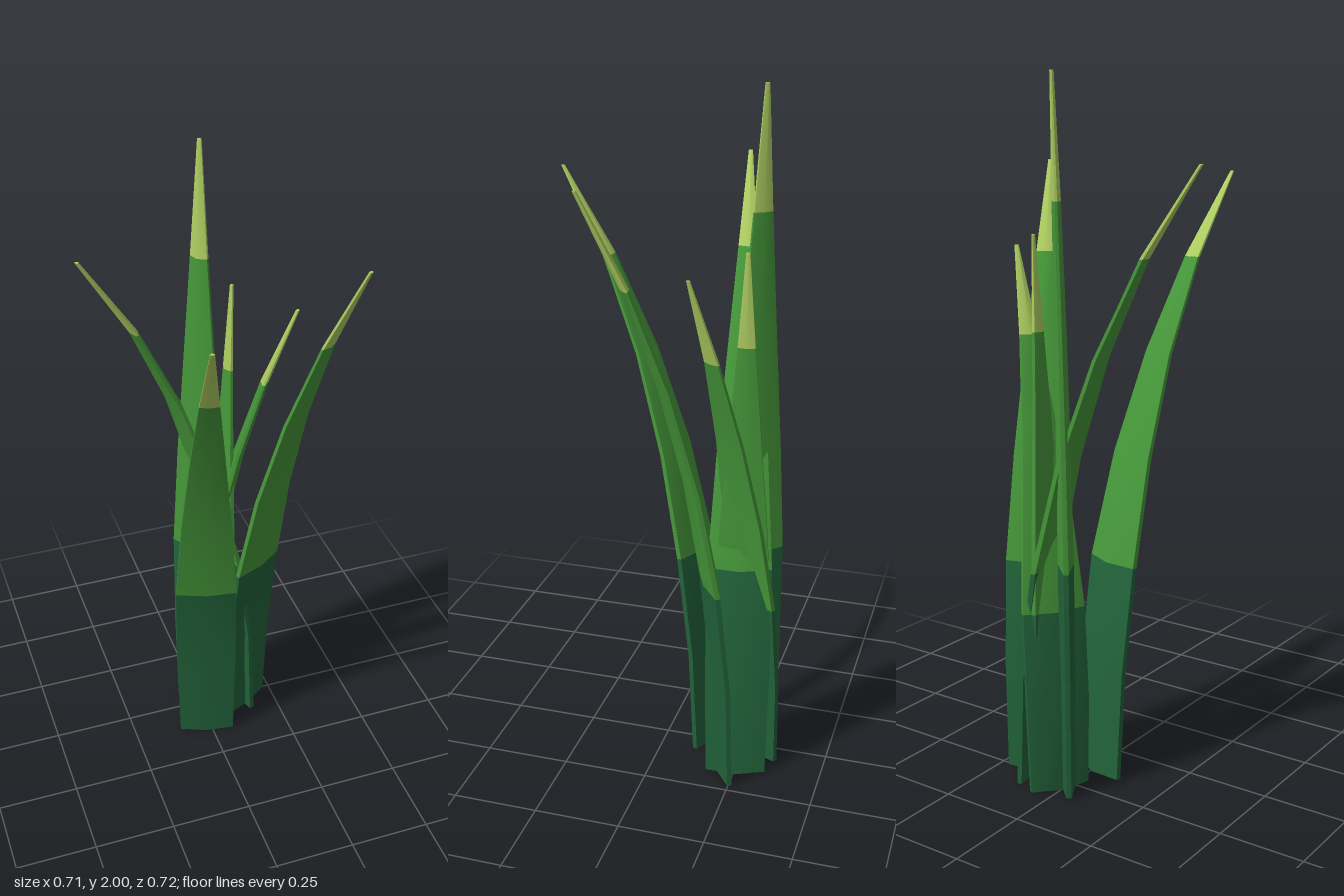
import * as THREE from 'three';

const mat = (name, color) => {
  const m = new THREE.MeshStandardMaterial({ color });
  m.name = name;
  return m;
};

// Half width and thickness scale at each of the seven rings, root to tip
const HALF_WIDTH = [0.088, 0.094, 0.093, 0.074, 0.05, 0.027, 0.006];
const THICKNESS = [1, 1, 1, 0.9, 0.75, 0.55, 0.25];
const SEGMENTS = 6;

// Flattened lens section as four strips (across, depth), counterclockwise from above
const STRIPS = [
  [[-1, 0.006], [0, 0.017], [1, 0.006]],
  [[1, 0.006], [1, -0.008]],
  [[1, -0.008], [0, -0.028], [-1, -0.008]],
  [[-1, -0.008], [-1, 0.006]],
];
const OUTLINE = [...STRIPS[0], ...STRIPS[2]];

// A blade rises from its root and bends with the square of the way up to its tip
function bladeGeometry({ root, tip, height, scale = 1 }) {
  const dx = tip[0] - root[0], dz = tip[1] - root[1];
  const lean = Math.hypot(dx, dz);
  const lx = dx / lean, lz = dz / lean;
  const sag = 0.44 * lean * lean;
  const positions = [], index = [];

  const addPoint = (ring, [u, v]) => {
    const t = ring / SEGMENTS;
    const a = u * HALF_WIDTH[ring] * scale, b = v * THICKNESS[ring];
    positions.push(
      root[0] + dx * t * t + lz * a + lx * b,
      height * ((1 + sag) * t - sag * t ** 3),
      root[1] + dz * t * t - lx * a + lz * b
    );
    return positions.length / 3 - 1;
  };

  // Sides: separate strips keep the blade edges sharp
  const strips = STRIPS.map((strip) =>
    HALF_WIDTH.map((_, ring) => strip.map((p) => addPoint(ring, p))));
  const addCap = (ring, up) => {
    const ids = OUTLINE.map((p) => addPoint(ring, p));
    for (let i = 1; i < ids.length - 1; i++) {
      index.push(ids[0], ids[up ? i : i + 1], ids[up ? i + 1 : i]);
    }
  };

  addCap(0, false);
  const starts = [0];
  for (let s = 0; s < SEGMENTS; s++) {
    if (s === 2 || s === 5) starts.push(index.length);
    for (const rings of strips) {
      const low = rings[s], high = rings[s + 1];
      for (let i = 0; i < low.length - 1; i++) {
        index.push(low[i], low[i + 1], high[i + 1], low[i], high[i + 1], high[i]);
      }
    }
  }
  addCap(SEGMENTS, true);
  starts.push(index.length);

  const geometry = new THREE.BufferGeometry();
  geometry.setAttribute('position', new THREE.Float32BufferAttribute(positions, 3));
  geometry.setIndex(index);
  // Dark root, green middle, pale tip
  for (let i = 0; i < 3; i++) geometry.addGroup(starts[i], starts[i + 1] - starts[i], i);
  geometry.computeVertexNormals();
  return geometry;
}

// Root and tip are [x, z]
const BLADES = [
  { name: 'frontBlade', root: [-0.015, -0.128], tip: [-0.15, 0.36], height: 1.73 },
  { name: 'leftBlade', root: [0.15, -0.21], tip: [0.35, 0.143], height: 1.76 },
  { name: 'rightBlade', root: [0.14, -0.25], tip: [-0.35, -0.143], height: 1.765 },
  { name: 'tallBlade', root: [0.01, -0.257], tip: [0.028, -0.272], height: 2, scale: 1.03 },
  { name: 'shortLeftBlade', root: [0.02, -0.28], tip: [0.265, -0.13], height: 1.53 },
  { name: 'shortBackBlade', root: [0.075, -0.245], tip: [0.112, -0.25], height: 1.575, scale: 0.9 },
];

export function createModel() {
  const group = new THREE.Group();
  group.name = 'grassTuft';
  const materials = [
    mat('darkRootGreen', 0x22633a),
    mat('leafGreen', 0x46983a),
    mat('paleTipGreen', 0xb0d062),
  ];
  for (const blade of BLADES) {
    const mesh = new THREE.Mesh(bladeGeometry(blade), materials);
    mesh.name = blade.name;
    group.add(mesh);
  }
  return group;
}
